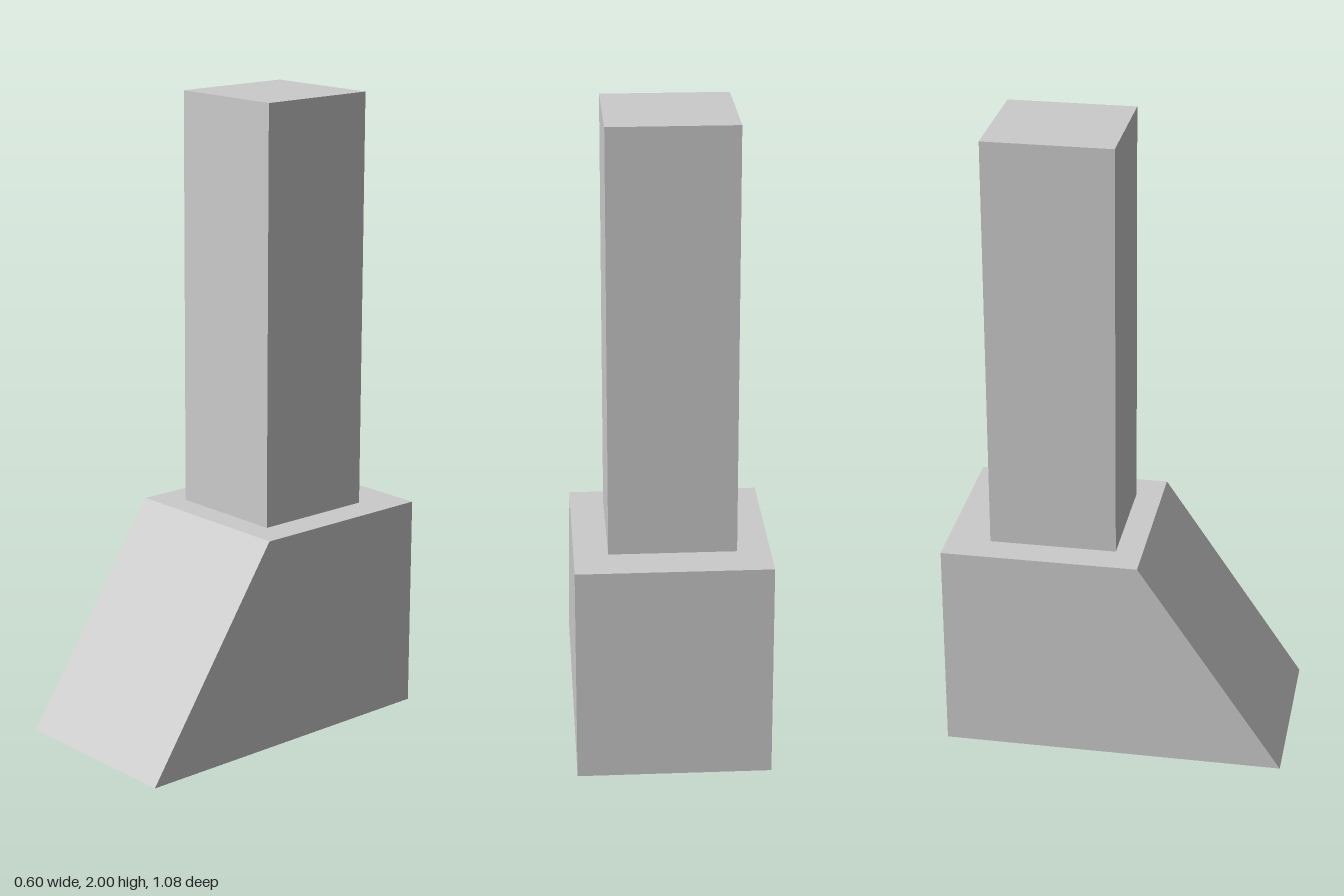
import * as THREE from 'three';

const material = new THREE.MeshStandardMaterial({ color: 0xcccccc, flatShading: true });

function addPart(group, name, geometry) {
  const mesh = new THREE.Mesh(geometry, material);
  mesh.name = name;
  group.add(mesh);
  return mesh;
}

export function createModel() {
  const group = new THREE.Group();
  group.name = 'columnOnSlopedBase';

  const baseWidth = 0.596, baseDepth = 1.08, baseHeight = 0.68;
  const half = baseDepth / 2;

  // Base: side profile (z, y) with a sloped front, extruded across the width
  const profile = new THREE.Shape([
    new THREE.Vector2(-half, 0),
    new THREE.Vector2(half, 0),
    new THREE.Vector2(0.08, baseHeight),
    new THREE.Vector2(-half, baseHeight),
  ]);
  const base = new THREE.ExtrudeGeometry(profile, { depth: baseWidth, bevelEnabled: false });
  base.translate(0, 0, -baseWidth / 2);
  base.rotateY(-Math.PI / 2); // profile x becomes +z
  addPart(group, 'slopedBase', base);

  // Column: square post standing on the flat top of the base
  const columnHeight = 2 - baseHeight;
  const column = addPart(group, 'column', new THREE.BoxGeometry(0.39, columnHeight, 0.4));
  column.position.set(-0.002, baseHeight + columnHeight / 2, -0.204);

  return group;
}
